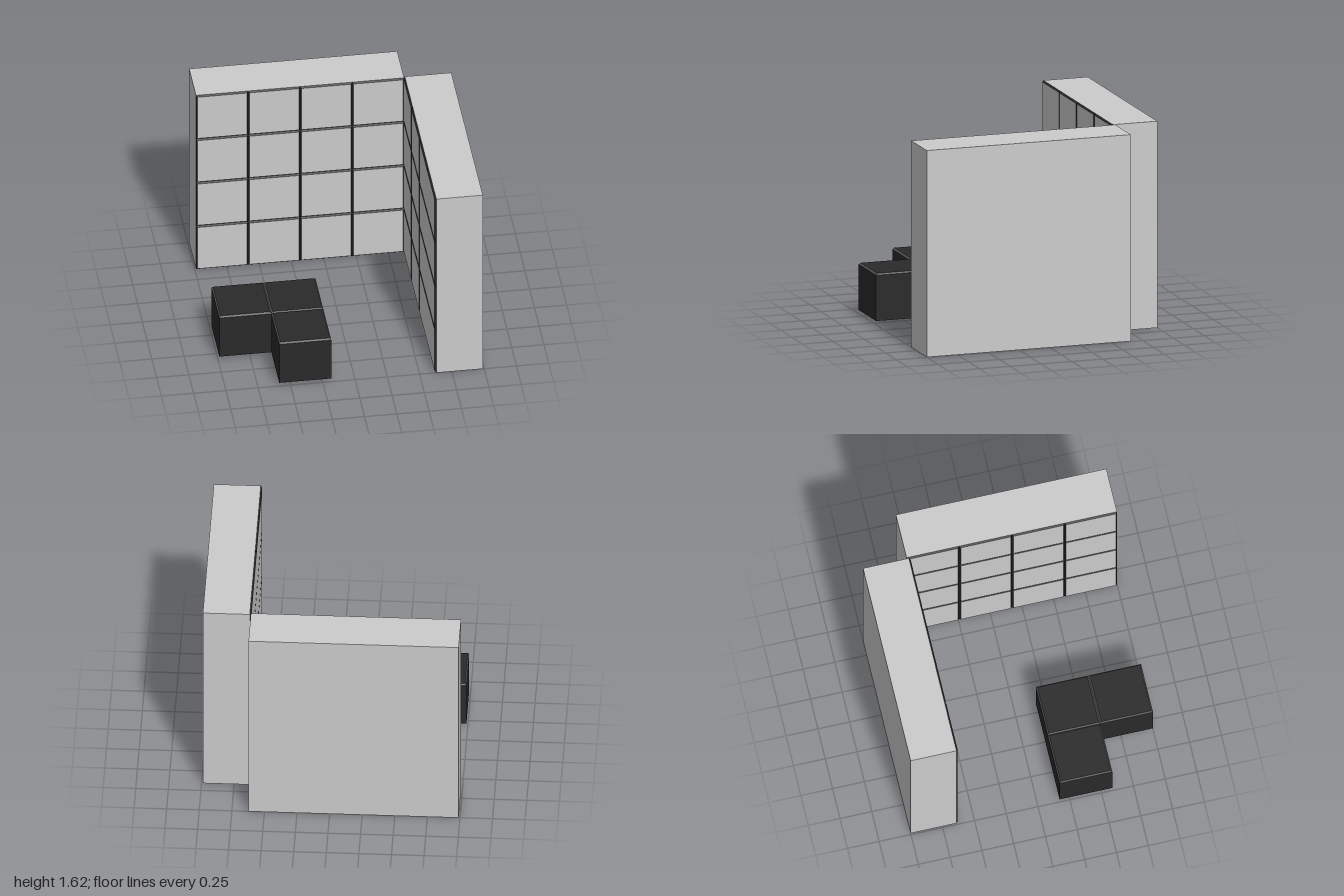
import * as THREE from 'three';

const grey = new THREE.MeshStandardMaterial({ color: 0xcccccc, flatShading: true });
const black = new THREE.MeshStandardMaterial({ color: 0x2a2a2a, flatShading: true });
const trimGrey = new THREE.MeshStandardMaterial({ color: 0x606060, flatShading: true });

const DEPTH = 0.36;   // body thickness
const BEVEL = 0.012;  // height of the bevelled rim
const INSET = 0.01;   // rim width on each side of a tile

function addMesh(parent, name, geometry, material) {
  const mesh = new THREE.Mesh(geometry, material);
  mesh.name = name;
  parent.add(mesh);
  return mesh;
}

// Block with a cols x rows grid of bevelled tiles on its +z side; its back is at z = 0
function tiledBlock(name, cols, rows, w, h, bodyMat, rimMat) {
  const block = new THREE.Group();
  block.name = name;
  addMesh(block, 'body', new THREE.BoxGeometry(cols * w, rows * h, DEPTH), bodyMat)
    .position.z = DEPTH / 2;

  // Four-sided open frustum for the sloping rim
  const r = Math.SQRT1_2;
  const rim = new THREE.CylinderGeometry(r * (1 - 2 * INSET / w), r, BEVEL, 4, 1, true)
    .rotateY(Math.PI / 4).rotateX(Math.PI / 2).scale(w, h, 1);
  const face = new THREE.PlaneGeometry(w - 2 * INSET, h * (1 - 2 * INSET / w));

  for (let i = 0; i < cols; i++) {
    for (let j = 0; j < rows; j++) {
      const x = (i - (cols - 1) / 2) * w;
      const y = (j - (rows - 1) / 2) * h;
      addMesh(block, 'tileRim', rim, rimMat).position.set(x, y, DEPTH + BEVEL / 2);
      addMesh(block, 'tileFace', face, bodyMat).position.set(x, y, DEPTH + BEVEL);
    }
  }
  return block;
}

export function createModel() {
  const model = new THREE.Group();
  model.name = 'tiledCorner';
  const TX = 0.403, TY = 0.406, TZ = 0.414;

  // Back wall, tiles facing +z
  const backWall = tiledBlock('backWall', 4, 4, TX, TY, grey, black);
  backWall.position.set(-0.99 + 2 * TX, 2 * TY, -1);
  model.add(backWall);

  // Side wall, tiles facing -x
  const sideWall = tiledBlock('sideWall', 4, 4, TZ, TY, grey, black);
  sideWall.rotation.y = -Math.PI / 2;
  sideWall.position.set(0.99, 2 * TY, 1 - 2 * TZ);
  model.add(sideWall);

  // L-shaped group of low seat blocks, tiles facing up
  for (const [col, row] of [[0, 0], [1, 0], [1, 1]]) {
    const seat = tiledBlock('seatBlock', 1, 1, TX, TZ, black, trimGrey);
    seat.rotation.x = -Math.PI / 2;
    seat.position.set(-0.99 + (col + 0.5) * TX, 0.03, 1 - (1.5 - row) * TZ);
    model.add(seat);
  }
  return model;
}
